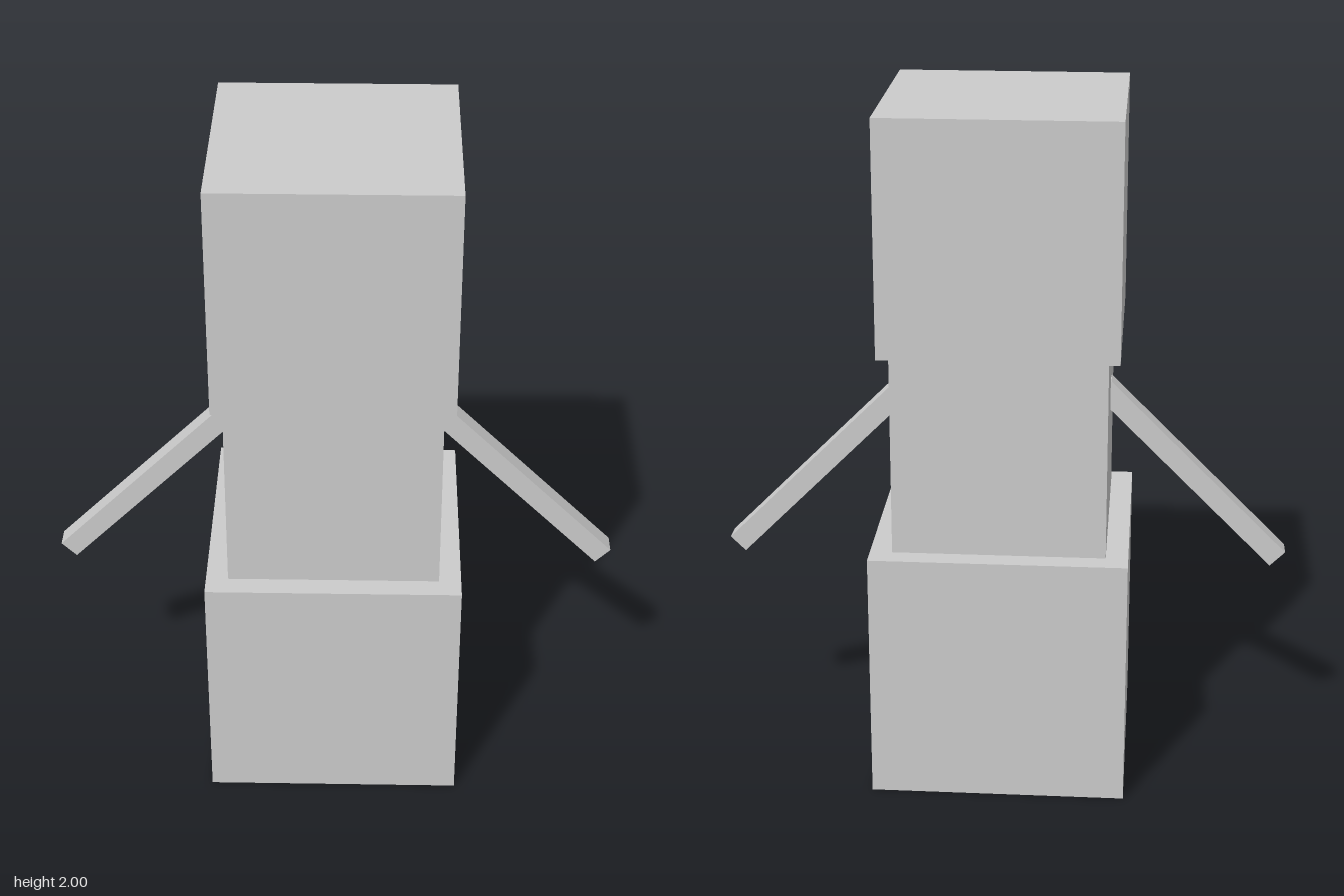
import * as THREE from 'three';

const material = new THREE.MeshStandardMaterial({ color: 0xcccccc, flatShading: true });

function box(name, width, height, depth, y) {
  const mesh = new THREE.Mesh(new THREE.BoxGeometry(width, height, depth), material);
  mesh.name = name;
  mesh.position.y = y;
  return mesh;
}

export function createModel() {
  const model = new THREE.Group();
  model.name = 'blockFigure';

  // Stacked body blocks; the middle cube sinks slightly into the base
  model.add(box('lowerBody', 0.738, 0.738, 0.738, 0.369));
  model.add(box('upperBody', 0.61, 0.61, 0.61, 1.024));
  model.add(box('head', 0.674, 0.674, 0.674, 1.663));

  // Stick arms sloping down and outwards at 45 degrees
  for (const [name, side] of [['leftArm', 1], ['rightArm', -1]]) {
    const arm = box(name, 0.738, 0.062, 0.062, 0.892);
    arm.position.x = side * 0.546;
    arm.rotation.z = -side * Math.PI / 4;
    model.add(arm);
  }
  return model;
}
